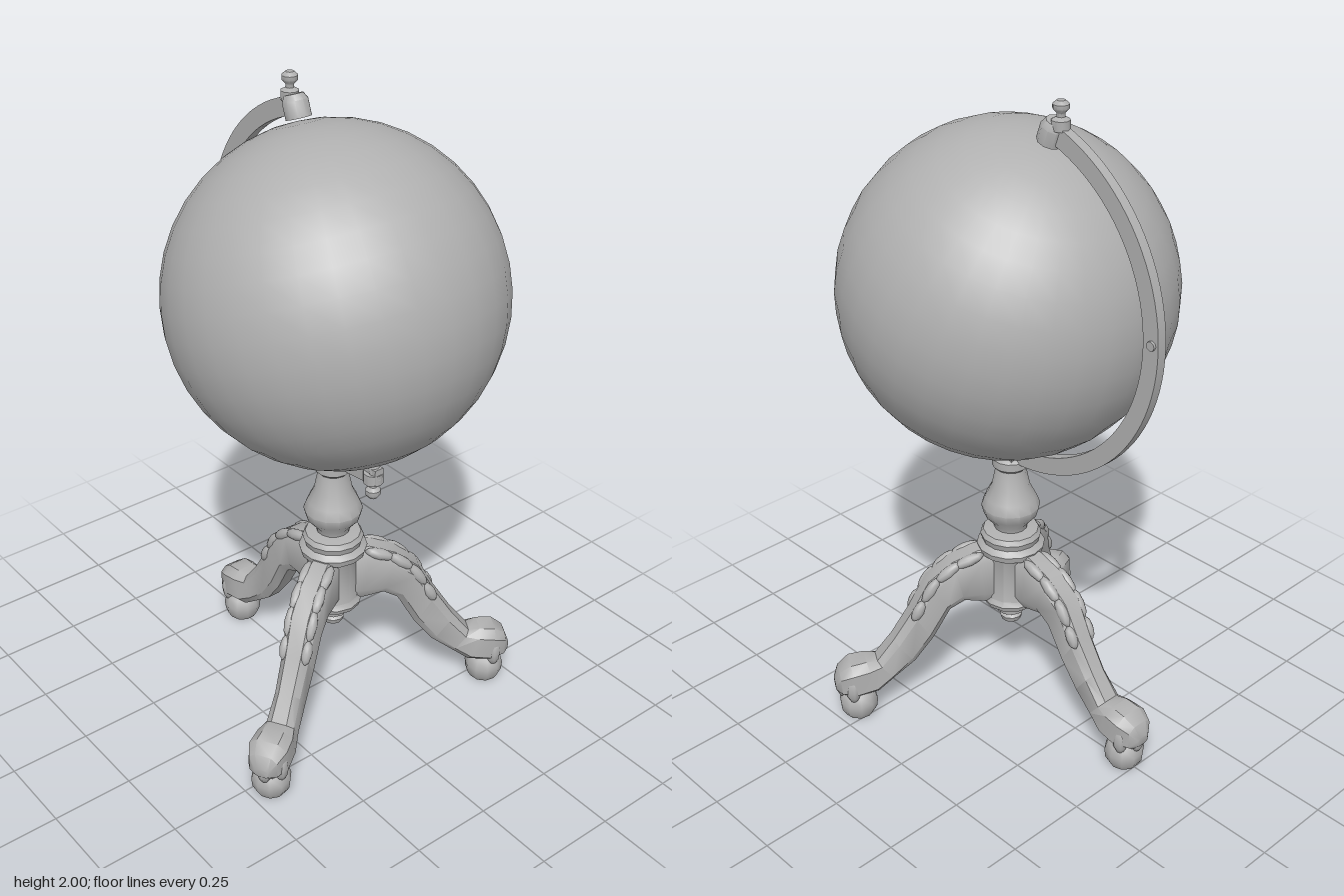
import * as THREE from 'three';
import { toCreasedNormals } from 'three/addons/utils/BufferGeometryUtils.js';

const grey = new THREE.MeshStandardMaterial({ color: 0xb0b0b0 });
grey.name = 'plain grey';

function mesh(name, geometry, parent, x = 0, y = 0, z = 0) {
  const m = new THREE.Mesh(geometry, grey);
  m.name = name;
  m.position.set(x, y, z);
  parent.add(m);
  return m;
}

// Turned part from [radius, height] pairs, listed bottom to top
function turned(profile, sides) {
  const points = profile.map(([r, y]) => new THREE.Vector2(r, y));
  return toCreasedNormals(new THREE.LatheGeometry(points, sides), 0.75);
}

// Leg from sections: [upper x, upper y, lower x, lower y, half width]
function legGeometry(sections) {
  const outline = [[1, 0.55], [0.8, 1], [0.2, 1], [0, 0.55], [0, -0.55], [0.2, -1], [0.8, -1], [1, -0.55]];
  const n = outline.length, position = [], index = [];
  for (const [ux, uy, lx, ly, w] of sections) {
    for (const [t, s] of outline) position.push(lx + (ux - lx) * t, ly + (uy - ly) * t, s * w);
  }
  for (let i = 0; i < sections.length - 1; i++) {
    for (let j = 0; j < n; j++) {
      const a = i * n + j, b = i * n + (j + 1) % n;
      index.push(a, b, a + n, b, b + n, a + n);
    }
  }
  const last = (sections.length - 1) * n;
  for (let j = 1; j < n - 1; j++) {
    index.push(0, j + 1, j, last, last + j, last + j + 1);
  }
  const g = new THREE.BufferGeometry();
  g.setAttribute('position', new THREE.Float32BufferAttribute(position, 3));
  g.setIndex(index);
  return toCreasedNormals(g, 0.7);
}

function createLeg() {
  const leg = new THREE.Group();
  leg.name = 'leg';
  mesh('curvedLeg', legGeometry([
    [0.04, 0.56, 0.04, 0.37, 0.045],
    [0.11, 0.56, 0.09, 0.37, 0.045],
    [0.19, 0.53, 0.155, 0.385, 0.048],
    [0.265, 0.47, 0.2, 0.36, 0.048],
    [0.32, 0.365, 0.255, 0.26, 0.043],
    [0.38, 0.27, 0.315, 0.18, 0.04],
    [0.435, 0.2, 0.38, 0.13, 0.044],
    [0.47, 0.205, 0.435, 0.09, 0.056],
    [0.52, 0.2, 0.5, 0.08, 0.06],
    [0.555, 0.175, 0.55, 0.09, 0.045],
    [0.57, 0.135, 0.568, 0.105, 0.022],
  ]), leg);

  // Ball under the claw
  mesh('footBall', turned([[0, 0], [0.045, 0], [0.058, 0.022], [0.061, 0.05], [0.052, 0.08], [0.03, 0.1]], 10), leg, 0.497, 0, 0);

  // Toes wrapping the ball
  for (const angle of [-1.15, 0, 1.15]) {
    const dx = Math.cos(angle), dz = Math.sin(angle);
    const toe = mesh('toe', new THREE.SphereGeometry(0.024, 8, 6), leg, 0.497 + dx * 0.047, 0.115, dz * 0.044);
    toe.scale.set(1, 2, 1);
  }

  // Carved leaf along the crest and both sides of the knee
  const leaves = [[0.14, 0.545, -0.35, 0.05], [0.205, 0.512, -0.65, 0.05], [0.26, 0.455, -1, 0.05], [0.3, 0.385, -1.1, 0.04]];
  for (const [x, y, tilt, length] of leaves) {
    for (const side of [-1, 1]) {
      const leaf = mesh('kneeLeaf', new THREE.SphereGeometry(1, 8, 6), leg, x, y - 0.01, side * 0.035);
      leaf.scale.set(length, 0.018, 0.017);
      leaf.rotation.z = tilt;
    }
  }
  return leg;
}

export function createModel() {
  const model = new THREE.Group();
  model.name = 'globeOnStand';

  // Globe, tilted about its axis
  const tilt = -0.35;
  const globe = mesh('globe', new THREE.SphereGeometry(0.489, 32, 20), model, 0, 1.41, 0.048);
  globe.rotation.x = tilt;

  // Curved arm holding both poles
  const cx = -0.02, cy = 1.41, top = 1.31, low = -1.65;
  const shape = new THREE.Shape();
  shape.absarc(cx, cy, 0.55, top, low, true);
  shape.lineTo(-0.25, 0.885);
  shape.lineTo(-0.25, 0.937);
  shape.absarc(cx, cy, 0.497, low, top, false);
  shape.closePath();
  const armGeometry = new THREE.ExtrudeGeometry(shape, { depth: 0.03, bevelEnabled: false, curveSegments: 24 });
  armGeometry.translate(0, 0, -0.015).rotateY(Math.PI / 2);
  mesh('arm', toCreasedNormals(armGeometry, 0.6), model);

  // Screw through the middle of the arm
  const screw = mesh('armScrew', new THREE.CylinderGeometry(0.014, 0.014, 0.046, 8), model, 0, 1.43, -0.508);
  screw.rotation.z = Math.PI / 2;

  // Pole fittings
  const collar = mesh('topCollar', turned([[0, -0.035], [0.038, -0.035], [0.038, 0.012], [0.028, 0.03], [0, 0.03]], 10), model, 0, 1.913, -0.125);
  collar.rotation.x = tilt;
  mesh('topFinial', turned([[0, -0.02], [0.026, -0.02], [0.026, 0.008], [0.012, 0.016], [0.012, 0.026],
    [0.023, 0.038], [0.023, 0.05], [0.012, 0.06], [0, 0.06]], 10), model, 0, 1.94, -0.152);
  const pin = mesh('bottomPin', new THREE.CylinderGeometry(0.018, 0.018, 0.08, 8), model, 0, 0.935, 0.224);
  pin.rotation.x = tilt;
  mesh('bottomFinial', turned([[0, 0], [0.014, 0], [0.023, 0.012], [0.023, 0.026], [0.012, 0.036],
    [0.012, 0.046], [0.03, 0.052], [0.03, 0.085], [0, 0.085]], 10), model, 0, 0.832, 0.224);

  // Stand: column, hub, drop finial and three legs share one axis
  const stand = new THREE.Group();
  stand.name = 'stand';
  stand.position.z = 0.04;
  model.add(stand);
  mesh('armSocket', new THREE.BoxGeometry(0.065, 0.08, 0.075), stand, 0, 0.895, 0);
  mesh('column', turned([[0.05, 0.61], [0.052, 0.635], [0.082, 0.67], [0.09, 0.7], [0.078, 0.73], [0.058, 0.77],
    [0.046, 0.83], [0.056, 0.84], [0.056, 0.865], [0.044, 0.875], [0, 0.875]], 14), stand);
  mesh('columnFlange', turned([[0, 0.54], [0.1, 0.545], [0.105, 0.565], [0.088, 0.58], [0.094, 0.6], [0.085, 0.615], [0.05, 0.622], [0, 0.622]], 14), stand);
  mesh('hub', turned([[0, 0.355], [0.085, 0.355], [0.09, 0.37], [0.08, 0.385], [0.08, 0.53], [0.098, 0.55], [0, 0.55]], 12), stand);
  mesh('dropFinial', turned([[0, 0.278], [0.03, 0.278], [0.036, 0.295], [0.026, 0.305], [0.045, 0.315],
    [0.047, 0.335], [0.035, 0.345], [0.055, 0.36], [0, 0.36]], 10), stand);
  for (let i = 0; i < 3; i++) {
    const leg = createLeg();
    leg.rotation.y = Math.PI / 2 + i * Math.PI * 2 / 3;
    stand.add(leg);
  }
  return model;
}
